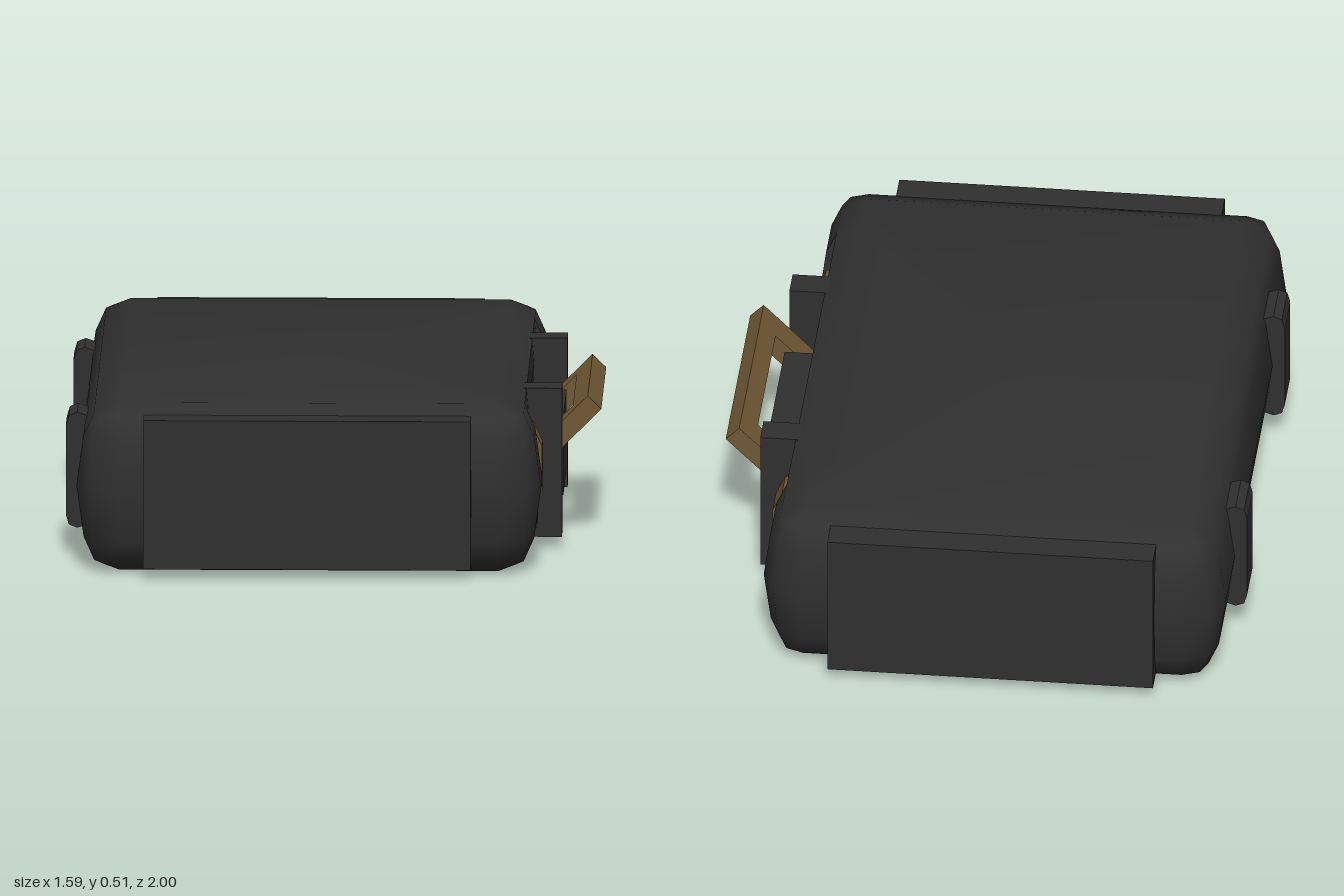
import * as THREE from 'three';
import { toCreasedNormals } from 'three/addons/utils/BufferGeometryUtils.js';

const black = new THREE.MeshStandardMaterial({ color: 0x303030 });
black.name = 'black shell';
const brass = new THREE.MeshStandardMaterial({ color: 0x705834 });
brass.name = 'brass';

function add(parent, name, geometry, material) {
  const mesh = new THREE.Mesh(geometry, material);
  mesh.name = name;
  parent.add(mesh);
  return mesh;
}

// Box given by its limits on each axis
function box(parent, name, material, [x0, x1], [y0, y1], [z0, z1]) {
  const g = new THREE.BoxGeometry(x1 - x0, y1 - y0, z1 - z0);
  g.translate((x0 + x1) / 2, (y0 + y1) / 2, (z0 + z1) / 2);
  return add(parent, name, g, material);
}

// Profile in x-y, extruded along z and centred on the given z
function profile(parent, name, material, points, width, z) {
  const shape = new THREE.Shape(points.map(([x, y]) => new THREE.Vector2(x, y)));
  const g = new THREE.ExtrudeGeometry(shape, { depth: width, bevelEnabled: false });
  g.translate(0, 0, z - width / 2);
  return add(parent, name, g, material);
}

// Outline of the shell at one level, with the shallow recess in its +x side
function outline(inset) {
  const cx = -0.07, hx = 0.692 - inset, hz = 0.97 - inset;
  const r = Math.max(0.125 - inset, 0.004), m = r * 0.29;
  const xr = cx + hx, xc = Math.min(xr, 0.575);
  const half = [[xc, 0], [xc, 0.69], [xr, 0.69], [xr, hz - r], [xr - m, hz - m], [xr - r, hz],
    [cx - hx + r, hz], [cx - hx + m, hz - m], [cx - hx, hz - r]];
  const mirrored = half.slice(1).reverse().map(([x, z]) => [x, -z]);
  return [...half, ...mirrored];
}

// Bulging shell lofted through stacked outlines
function shellGeometry() {
  const levels = [[0, 0.125], [0.03, 0.052], [0.1, 0.021], [0.253, 0],
    [0.407, 0.021], [0.476, 0.052], [0.506, 0.125]];
  const pos = [], index = [];
  const n = outline(0).length;
  for (const [y, inset] of levels) for (const [x, z] of outline(inset)) pos.push(x, y, z);
  for (let l = 0; l < levels.length - 1; l++) {
    for (let i = 0; i < n; i++) {
      const a = l * n + i, b = l * n + (i + 1) % n;
      index.push(a, a + n, b, b, a + n, b + n);
    }
  }
  // Flat bottom and top
  const bottom = pos.length / 3, top = bottom + 1, last = (levels.length - 1) * n;
  pos.push(-0.07, 0, 0, -0.07, 0.506, 0);
  for (let i = 0; i < n; i++) {
    const j = (i + 1) % n;
    index.push(bottom, i, j, top, last + j, last + i);
  }
  const g = new THREE.BufferGeometry();
  g.setAttribute('position', new THREE.Float32BufferAttribute(pos, 3));
  g.setIndex(index);
  return toCreasedNormals(g, 1.0);
}

export function createModel() {
  const model = new THREE.Group();
  model.name = 'case';
  add(model, 'shell', shellGeometry(), black);

  for (const s of [-1, 1]) {
    const span = (a, b) => (s > 0 ? [a, b] : [-b, -a]);
    // End plate, hinge and upright rib
    box(model, 'endPlate', black, [-0.56, 0.415], [0.03, 0.48], span(0.86, 1));
    profile(model, 'hinge', black, [[-0.7, 0.08], [-0.735, 0.09], [-0.765, 0.08], [-0.79, 0.09], [-0.799, 0.12],
      [-0.799, 0.39], [-0.79, 0.42], [-0.765, 0.43], [-0.735, 0.42], [-0.7, 0.43]].reverse(), 0.15, s * 0.525);
    box(model, 'rib', black, [0.55, 0.675], [0.03, 0.48], span(0.36, 0.45));
    // Latch with its backing block
    box(model, 'latchBase', black, [0.55, 0.605], [0.095, 0.235], span(0.495, 0.65));
    profile(model, 'latch', brass, [[0.56, 0.2], [0.62, 0.2], [0.62, 0.335], [0.592, 0.395], [0.56, 0.395]],
      0.092, s * 0.57);
  }

  box(model, 'handleMount', black, [0.55, 0.675], [0.115, 0.35], [-0.225, 0.225]);

  // Handle, tilted up and outwards
  const handle = new THREE.Group();
  handle.name = 'handle';
  handle.position.set(0.593, 0.28, 0);
  handle.rotation.z = Math.PI / 4;
  const thick = [-0.057, 0];
  box(handle, 'handleBar', brass, [0.157, 0.222], thick, [-0.34, 0.34]);
  box(handle, 'handleArm', brass, [0, 0.157], thick, [0.245, 0.34]);
  box(handle, 'handleArm', brass, [0, 0.157], thick, [-0.34, -0.245]);
  model.add(handle);

  return model;
}
